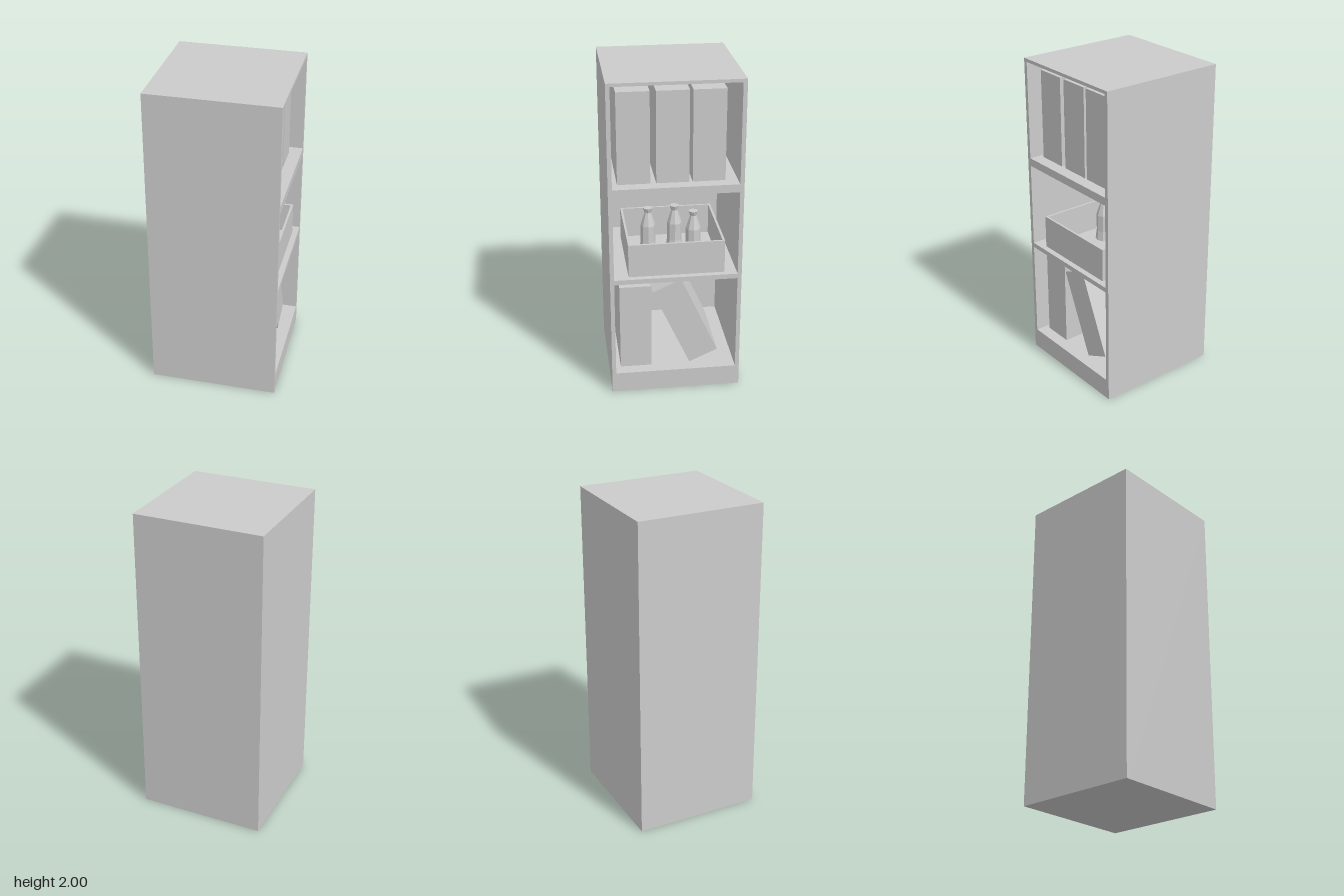
import * as THREE from 'three';

const mat = new THREE.MeshStandardMaterial({ color: 0xcccccc, flatShading: true, side: THREE.DoubleSide });

function add(parent, name, geometry, x = 0, y = 0, z = 0) {
  const mesh = new THREE.Mesh(geometry, mat);
  mesh.name = name;
  mesh.position.set(x, y, z);
  parent.add(mesh);
  return mesh;
}

// box given by its lower and upper bounds on each axis
function block(parent, name, [x0, x1], [y0, y1], [z0, z1]) {
  return add(parent, name, new THREE.BoxGeometry(x1 - x0, y1 - y0, z1 - z0),
    (x0 + x1) / 2, (y0 + y1) / 2, (z0 + z1) / 2);
}

function rect(shape, x0, x1, y0, y1) {
  shape.moveTo(x0, y0);
  shape.lineTo(x1, y0);
  shape.lineTo(x1, y1);
  shape.lineTo(x0, y1);
  shape.closePath();
  return shape;
}

export function createModel() {
  const group = new THREE.Group();
  group.name = 'bookcase';

  // cabinet: one frame with three compartments open towards +x, closed by a back panel
  const outline = rect(new THREE.Shape(), -0.4, 0.4, 0, 2);
  for (const [y0, y1] of [[0.13, 0.75], [0.78, 1.315], [1.365, 1.98]]) {
    outline.holes.push(rect(new THREE.Path(), -0.375, 0.375, y0, y1));
  }
  const frame = new THREE.ExtrudeGeometry(outline, { depth: 0.77, bevelEnabled: false });
  frame.rotateY(Math.PI / 2);
  add(group, 'cabinetFrame', frame, -0.37);
  block(group, 'backPanel', [-0.4, -0.37], [0, 2], [-0.4, 0.4]);

  // binders on the top shelf and one upright on the bottom shelf
  const bookX = [-0.18, 0.325];
  for (const z of [0.2425, 0.0125, -0.2025]) {
    block(group, 'binder', bookX, [1.366, 1.926], [z - 0.0975, z + 0.0975]);
  }
  block(group, 'lowerBinder', bookX, [0.131, 0.69], [0.145, 0.34]);

  // binder leaning against its neighbour
  const leaning = add(group, 'leaningBinder', new THREE.BoxGeometry(0.505, 0.56, 0.193), 0.0725, 0.43, -0.0675);
  leaning.rotation.x = 0.425;

  // open storage bin on the middle shelf
  const bin = new THREE.Group();
  bin.name = 'bin';
  group.add(bin);
  const [x0, x1, z0, z1, t] = [-0.2, 0.365, -0.3, 0.285, 0.014];
  const height = [0.781, 0.99];
  block(bin, 'binFloor', [x0, x1], [0.781, 0.795], [z0, z1]);
  block(bin, 'binFront', [x1 - t, x1], height, [z0, z1]);
  block(bin, 'binBack', [x0, x0 + t], height, [z0, z1]);
  block(bin, 'binSide', [x0 + t, x1 - t], height, [z0, z0 + t]);
  block(bin, 'binSide', [x0 + t, x1 - t], height, [z1 - t, z1]);

  // faceted bottles standing in the bin
  const profile = [[0, 0], [0.055, 0], [0.047, 0.06], [0.047, 0.17], [0.02, 0.255], [0.03, 0.285], [0, 0.285]]
    .map(([r, y]) => new THREE.Vector2(r, y));
  const bottle = new THREE.LatheGeometry(profile, 8);
  for (const [x, z] of [[0.02, 0.13], [0, -0.04], [0.1, -0.145]]) {
    add(group, 'bottle', bottle, x, 0.795, z);
  }

  return group;
}
